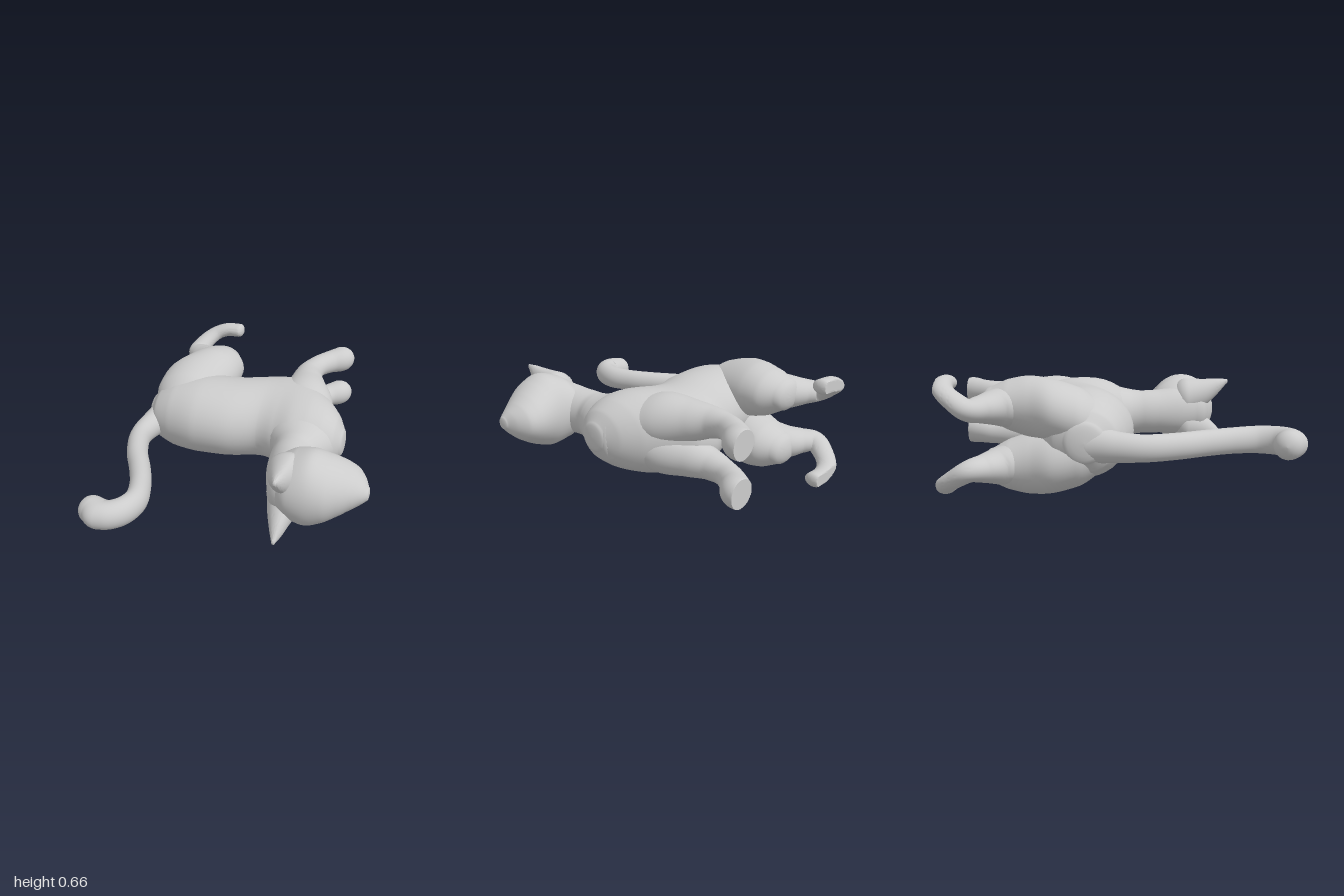
import * as THREE from 'three';
import { toCreasedNormals } from 'three/addons/utils/BufferGeometryUtils.js';

const material = new THREE.MeshStandardMaterial({ color: 0xcccccc });
const SIDES = 36, CAP = 5;
const X = new THREE.Vector3(1, 0, 0), Z = new THREE.Vector3(0, 0, 1), BACK = new THREE.Vector3(0, 0, -1);

// Loft of ellipses along a curve. Station: [x, y, z, radius in the xz plane, radius along y].
// With an axis, all sections stay square to it; otherwise they follow the curve.
function loft(stations, { axis, capStart = 0.7, capEnd = 0.7, steps = 8, rule } = {}) {
  const path = new THREE.CatmullRomCurve3(stations.map(s => new THREE.Vector3(s[0], s[1], s[2])));
  const radii = new THREE.CatmullRomCurve3(stations.map(s => new THREE.Vector3(s[3], s[4], 0)));
  const rings = [];
  const addRing = (t, angle = 0, reach = 0) => {
    const r = radii.getPoint(t), tangent = axis ?? path.getTangent(t);
    const centre = path.getPoint(t).addScaledVector(tangent, Math.sin(angle) * reach * Math.min(r.x, r.y));
    rings.push({ centre, tangent, a: r.x * Math.cos(angle), b: r.y * Math.cos(angle) });
  };
  const n = (stations.length - 1) * steps;
  for (let i = CAP; i > 0; i--) addRing(0, -i / CAP * Math.PI / 2, capStart);
  for (let i = 0; i <= n; i++) addRing(i / n);
  for (let i = 1; i <= CAP; i++) addRing(1, i / CAP * Math.PI / 2, capEnd);

  const positions = [], index = [], p = new THREE.Vector3();
  rings.forEach(({ centre, tangent, a, b }, i) => {
    const across = new THREE.Vector3(0, 1, 0).addScaledVector(tangent, -tangent.y).normalize();
    const normal = new THREE.Vector3().crossVectors(tangent, across);
    for (let j = 0; j < SIDES; j++) {
      const q = j / SIDES * Math.PI * 2;
      p.copy(centre).addScaledVector(normal, a * Math.cos(q)).addScaledVector(across, b * Math.sin(q));
      if (rule) rule(p, centre);
      positions.push(p.x, p.y, p.z);
      if (i === rings.length - 1) continue;
      const k = i * SIDES + j, m = i * SIDES + (j + 1) % SIDES;
      index.push(k, k + SIDES, m, m, k + SIDES, m + SIDES);
    }
  });
  const geometry = new THREE.BufferGeometry();
  geometry.setAttribute('position', new THREE.Float32BufferAttribute(positions, 3));
  geometry.setIndex(index);
  geometry.computeVertexNormals();
  return geometry;
}

export function createModel() {
  const model = new THREE.Group();
  const add = (name, geometry) => {
    const mesh = new THREE.Mesh(geometry, material);
    mesh.name = name;
    model.add(mesh);
  };
  // The animal lies on its side, so its two halves mirror across a height y.
  const addPair = (name, stations, middle, options) => {
    for (const [side, flip] of [['Upper', false], ['Lower', true]]) {
      const placed = stations.map(([x, y, z, a, b]) => [x, flip ? 2 * middle - y : y, z, a, b]);
      add(name + side, toCreasedNormals(loft(placed, options), 0.9));
    }
  };

  // Trunk from rump to chest
  add('torso', loft([
    [-0.735, 0.33, -0.19, 0.11, 0.11],
    [-0.69, 0.33, -0.19, 0.175, 0.165],
    [-0.58, 0.335, -0.2, 0.235, 0.22],
    [-0.4, 0.345, -0.215, 0.288, 0.242],
    [-0.2, 0.345, -0.24, 0.3, 0.24],
    [0, 0.345, -0.308, 0.312, 0.24],
    [0.1, 0.347, -0.31, 0.345, 0.242],
    [0.2, 0.35, -0.27, 0.355, 0.243],
    [0.31, 0.35, -0.21, 0.3, 0.235],
    [0.41, 0.353, -0.165, 0.23, 0.2],
    [0.485, 0.355, -0.135, 0.155, 0.145],
    [0.525, 0.355, -0.12, 0.085, 0.085],
  ], { axis: X, capStart: 0.27, capEnd: 0.2 }));

  // Neck rising from the shoulders into the nape
  add('neck', loft([
    [0.28, 0.352, -0.2, 0.25, 0.22],
    [0.285, 0.353, -0.08, 0.245, 0.195],
    [0.29, 0.355, 0, 0.21, 0.168],
    [0.3, 0.358, 0.075, 0.16, 0.148],
    [0.292, 0.36, 0.15, 0.135, 0.14],
    [0.302, 0.363, 0.25, 0.135, 0.142],
    [0.325, 0.367, 0.38, 0.132, 0.155],
    [0.355, 0.367, 0.5, 0.12, 0.14],
  ], { axis: Z, capStart: 0.3 }));

  // Head from the nape to the nose
  add('head', loft([
    [0.225, 0.367, 0.355, 0.08, 0.09],
    [0.28, 0.367, 0.385, 0.165, 0.15],
    [0.36, 0.37, 0.4, 0.212, 0.198],
    [0.46, 0.37, 0.41, 0.208, 0.224],
    [0.56, 0.37, 0.392, 0.2, 0.19],
    [0.64, 0.37, 0.363, 0.172, 0.148],
    [0.705, 0.37, 0.347, 0.133, 0.107],
    [0.75, 0.37, 0.36, 0.083, 0.068],
    [0.775, 0.37, 0.38, 0.04, 0.038],
  ], { axis: X, capStart: 0.3, capEnd: 0.25 }));

  // Pointed ears, flattened on the face side
  addPair('ear', [
    [0.345, 0.45, 0.43, 0.13, 0.125],
    [0.34, 0.48, 0.55, 0.085, 0.092],
    [0.34, 0.52, 0.635, 0.048, 0.055],
    [0.337, 0.556, 0.7, 0.012, 0.015],
  ], 0.362, { axis: Z, rule: (p, c) => { if (p.x > c.x) p.x = c.x + (p.x - c.x) * 0.65; } });

  // Curled tail
  add('tail', loft([
    [-0.66, 0.315, -0.16, 0.11, 0.11],
    [-0.71, 0.305, -0.02, 0.078, 0.082],
    [-0.72, 0.3, 0.12, 0.066, 0.073],
    [-0.655, 0.3, 0.3, 0.064, 0.072],
    [-0.56, 0.3, 0.46, 0.063, 0.072],
    [-0.485, 0.3, 0.61, 0.062, 0.073],
    [-0.447, 0.3, 0.76, 0.066, 0.077],
    [-0.485, 0.3, 0.87, 0.073, 0.08],
    [-0.56, 0.3, 0.918, 0.08, 0.08],
    [-0.635, 0.3, 0.892, 0.08, 0.08],
  ], { capEnd: 0.9 }));

  // Soles are cut flat where the animal would stand
  const flatSole = p => { p.z = Math.max(p.z, -1); };

  // Broad haunches on the sides of the rump
  addPair('haunch', [
    [-0.54, 0.39, -0.08, 0.13, 0.11],
    [-0.54, 0.435, -0.22, 0.205, 0.165],
    [-0.52, 0.475, -0.37, 0.22, 0.17],
    [-0.475, 0.492, -0.5, 0.2, 0.168],
    [-0.455, 0.5, -0.62, 0.175, 0.14],
    [-0.46, 0.505, -0.71, 0.125, 0.095],
  ], 0.333, { axis: BACK, capEnd: 0.6 });

  // Hind legs: hock and paw
  addPair('hindLeg', [
    [-0.5, 0.49, -0.58, 0.15, 0.12],
    [-0.555, 0.495, -0.67, 0.125, 0.1],
    [-0.63, 0.493, -0.74, 0.092, 0.075],
    [-0.682, 0.495, -0.8, 0.072, 0.06],
    [-0.655, 0.54, -0.88, 0.062, 0.052],
    [-0.595, 0.585, -0.945, 0.057, 0.046],
    [-0.52, 0.612, -0.965, 0.056, 0.045],
    [-0.428, 0.618, -0.965, 0.058, 0.044],
  ], 0.333, { rule: flatSole });

  // Front legs: shoulder, shin and paw
  addPair('frontLeg', [
    [0.25, 0.4, -0.22, 0.19, 0.14],
    [0.22, 0.45, -0.38, 0.175, 0.15],
    [0.185, 0.475, -0.55, 0.122, 0.118],
    [0.168, 0.492, -0.68, 0.087, 0.086],
    [0.195, 0.5, -0.8, 0.073, 0.07],
    [0.26, 0.5, -0.9, 0.076, 0.075],
    [0.325, 0.5, -0.97, 0.086, 0.084],
    [0.345, 0.5, -1.03, 0.07, 0.075],
  ], 0.368, { rule: flatSole });

  return model;
}
